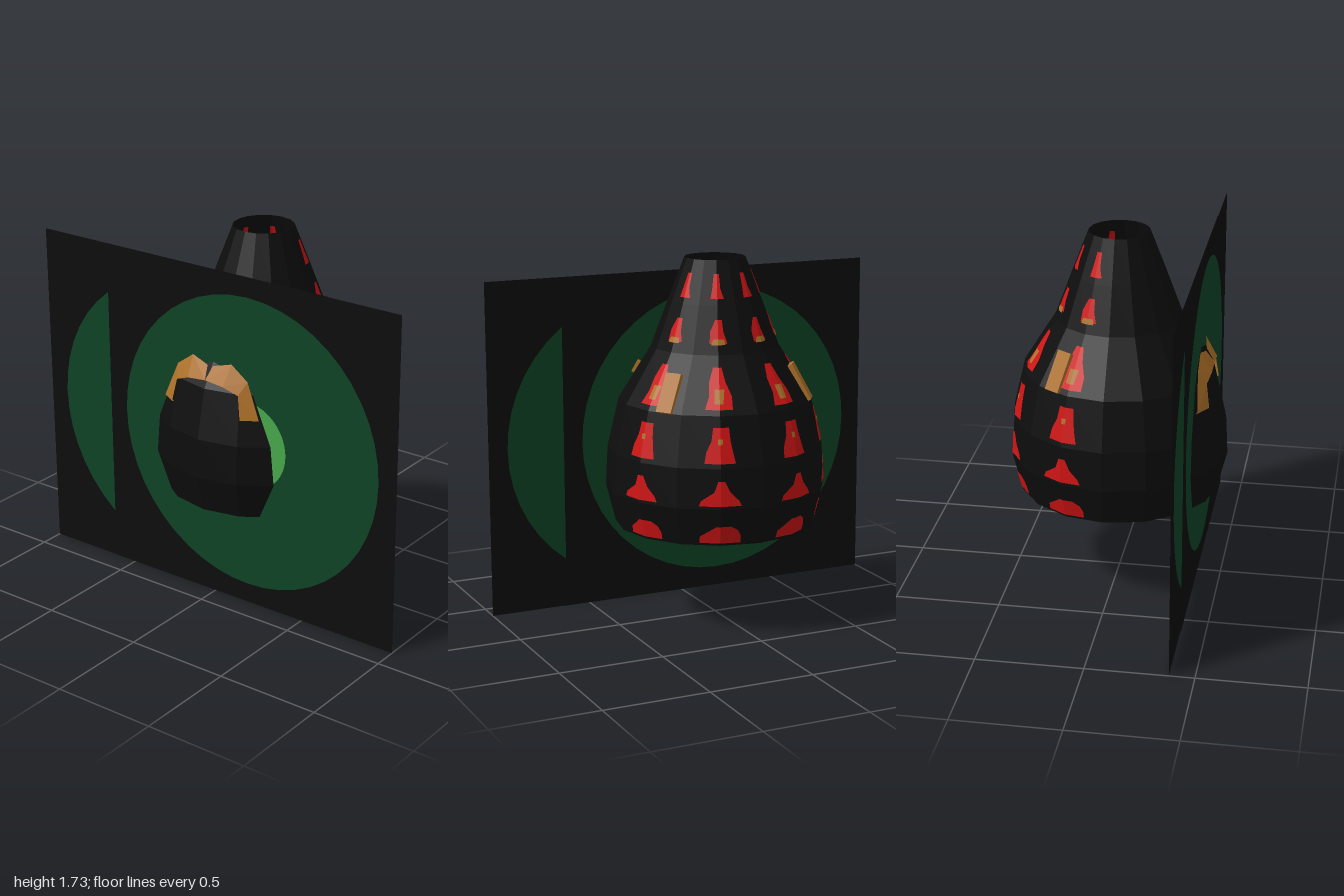
import * as THREE from 'three';

const mat = (name, color) => Object.assign(
  new THREE.MeshStandardMaterial({ color, side: THREE.DoubleSide, flatShading: true }), { name });

// Shell profile, [radius, height], 16 sides
const PROFILE = [[0.475, 0.47], [0.52, 0.65], [0.51, 0.837], [0.455, 1.07], [0.3, 1.32], [0.22, 1.535], [0.143, 1.735]];
const SIDE = Math.PI / 8;

function radiusAt(y) {
  let i = 0;
  while (i < PROFILE.length - 2 && y > PROFILE[i + 1][1]) i++;
  const [r0, y0] = PROFILE[i], [r1, y1] = PROFILE[i + 1];
  return r0 + (r1 - r0) * (y - y0) / (y1 - y0);
}

// Surface through rows that have the same number of points
function loft(rows) {
  const n = rows[0].length, index = [];
  for (let i = 0; i < rows.length - 1; i++) {
    for (let j = 0; j < n - 1; j++) {
      const a = i * n + j, b = a + n;
      index.push(a, a + 1, b + 1, a, b + 1, b);
    }
  }
  const g = new THREE.BufferGeometry();
  g.setAttribute('position', new THREE.Float32BufferAttribute(rows.flat(2), 3));
  g.setIndex(index);
  g.computeVertexNormals();
  return g;
}

// Patch folded over a shell edge; rows are [height, left, right] in facet widths
function patch(rows, theta, offset) {
  const point = (y, t) => {
    const r = radiusAt(y) + offset, k = Math.abs(t), a = theta + Math.sign(t) * SIDE;
    return [
      r * ((1 - k) * Math.sin(theta) + k * Math.sin(a)), y,
      r * ((1 - k) * Math.cos(theta) + k * Math.cos(a))];
  };
  return loft(rows.map(([y, l, r]) => [point(y, l), point(y, 0), point(y, r)]));
}

const PATCHES = [
  [[0.482, -0.52, 0.5], [0.515, -0.5, 0.5], [0.545, -0.25, 0.42], [0.565, -0.1, 0.25]],
  [[0.665, -0.5, 0.48], [0.69, -0.45, 0.42], [0.73, -0.15, 0.22], [0.78, -0.06, 0.1]],
  [[0.86, -0.38, 0.36], [0.91, -0.34, 0.3], [0.96, -0.22, 0.25], [1.02, -0.18, 0.22]],
  [[1.095, -0.4, 0.35], [1.15, -0.3, 0.36], [1.21, -0.32, 0.2], [1.27, -0.2, 0.1]],
  [[1.37, -0.35, 0.4], [1.42, -0.36, 0.25], [1.475, -0.12, 0.2]],
  [[1.565, -0.38, 0.38], [1.61, -0.3, 0.2], [1.675, -0.22, 0.15]],
];
const SPOTS = [
  [[0.945, -0.06, 0.05], [0.97, -0.06, 0.06]],
  [[1.12, -0.15, 0.1], [1.18, -0.15, 0.15]],
  [[1.365, -0.3, 0.3], [1.39, -0.2, 0.25]],
];

export function createModel() {
  const black = mat('shell black', 0x0d0d0d);
  const green = mat('dark green', 0x0f4427);
  const light = mat('light green', 0x48a84c);
  const red = mat('patch red', 0xcf1414);
  const tan = mat('tan', 0xae7129);
  const model = new THREE.Group();
  const add = (name, geometry, material, parent = model) => {
    const m = new THREE.Mesh(geometry, material);
    m.name = name;
    parent.add(m);
    return m;
  };

  // Open tapering shell
  add('shell', new THREE.LatheGeometry(PROFILE.map(p => new THREE.Vector2(...p)), 16), black);

  // Four columns of patches on the back, showing inside as well
  const patches = new THREE.Group();
  patches.name = 'backPatches';
  model.add(patches);
  for (const c of [-3, -1, 1, 3]) {
    const theta = Math.PI + c * SIDE;
    for (const rows of PATCHES) {
      add('redPatch', patch(rows, theta, 0.003), red, patches);
      add('innerRedPatch', patch(rows, theta, -0.003), red, patches);
    }
    for (const rows of SPOTS) add('tanSpot', patch(rows, theta, 0.006), tan, patches);
  }

  // Two overlapping square panels, each with concentric discs
  for (const s of [1, -1]) {
    const panel = new THREE.Group();
    panel.name = s > 0 ? 'frontPanel' : 'rearPanel';
    panel.position.set(0.19 * s, 0.815, 0.385 + 0.0015 * s);
    model.add(panel);
    const h = 0.81;
    const square = new THREE.Shape([[-h, -h], [h, -h], [h, h], [-h, h]].map(p => new THREE.Vector2(...p)));
    square.holes.push(new THREE.Path().absarc(0, 0, 0.715, 0, Math.PI * 2, true));
    add('panelSheet', new THREE.ShapeGeometry(square, 24), black, panel);
    add('panelRing', new THREE.RingGeometry(0.215, 0.715, 48), green, panel);
    add('panelDisc', new THREE.CircleGeometry(0.215, 48), light, panel);
  }

  // Folded band across the front of the shell
  const outer = [[0.27, 0.96, 0.405], [0.2, 1.13, 0.395], [0.11, 1.195, 0.395], [0.015, 1.17, 0.41]];
  const inner = [[0.195, 0.96, 0.45], [0.175, 1.07, 0.435], [0.1, 1.1, 0.45], [0, 1.11, 0.45]];
  for (const s of [1, -1]) {
    const flip = row => row.map(([x, y, z]) => [x * s, y, z]);
    add('frontBand', loft([flip(outer), flip(inner)]), tan);
    add('bandEnd', loft([[flip(outer)[0], flip(inner)[0]], [[s * 0.25, 0.95, 0.38], [s * 0.19, 0.95, 0.41]]]), tan);
  }

  // Slabs poking through the shell
  const slab = (angle, y, w, h) => {
    const m = add('slab', new THREE.BoxGeometry(w, h, 0.035), tan);
    const r = radiusAt(y) * 0.985;
    m.position.set(r * Math.sin(angle), y, r * Math.cos(angle));
    m.rotation.set(-0.5, angle, 0, 'YXZ');
  };
  slab(Math.PI - 2.5 * SIDE, 1.15, 0.08, 0.19);
  slab(Math.PI + 2.5 * SIDE, 1.15, 0.08, 0.19);
  slab(2.5 * SIDE, 1.2, 0.03, 0.06);

  // Faceted core inside the shell, with a knobbly lower end
  const core = add('core', new THREE.IcosahedronGeometry(1, 1), tan);
  core.scale.set(0.36, 0.38, 0.33);
  core.position.set(0, 0.83, 0.02);
  const neck = add('coreNeck', new THREE.CylinderGeometry(0.2, 0.08, 0.3, 7), tan);
  neck.position.set(0, 0.6, 0.23);
  neck.rotation.x = -0.5;
  for (let i = 0; i < 7; i++) {
    const a = i * Math.PI / 3, r = i < 6 ? 1 : 0;
    const knob = add('knob', new THREE.IcosahedronGeometry(0.042, 0), tan);
    knob.position.set(0.085 * r * Math.cos(a), 0.475 - 0.025 * (1 - r), 0.325 + 0.035 * r * Math.sin(a));
    knob.rotation.set(a, a * 2, 0);
  }
  return model;
}
